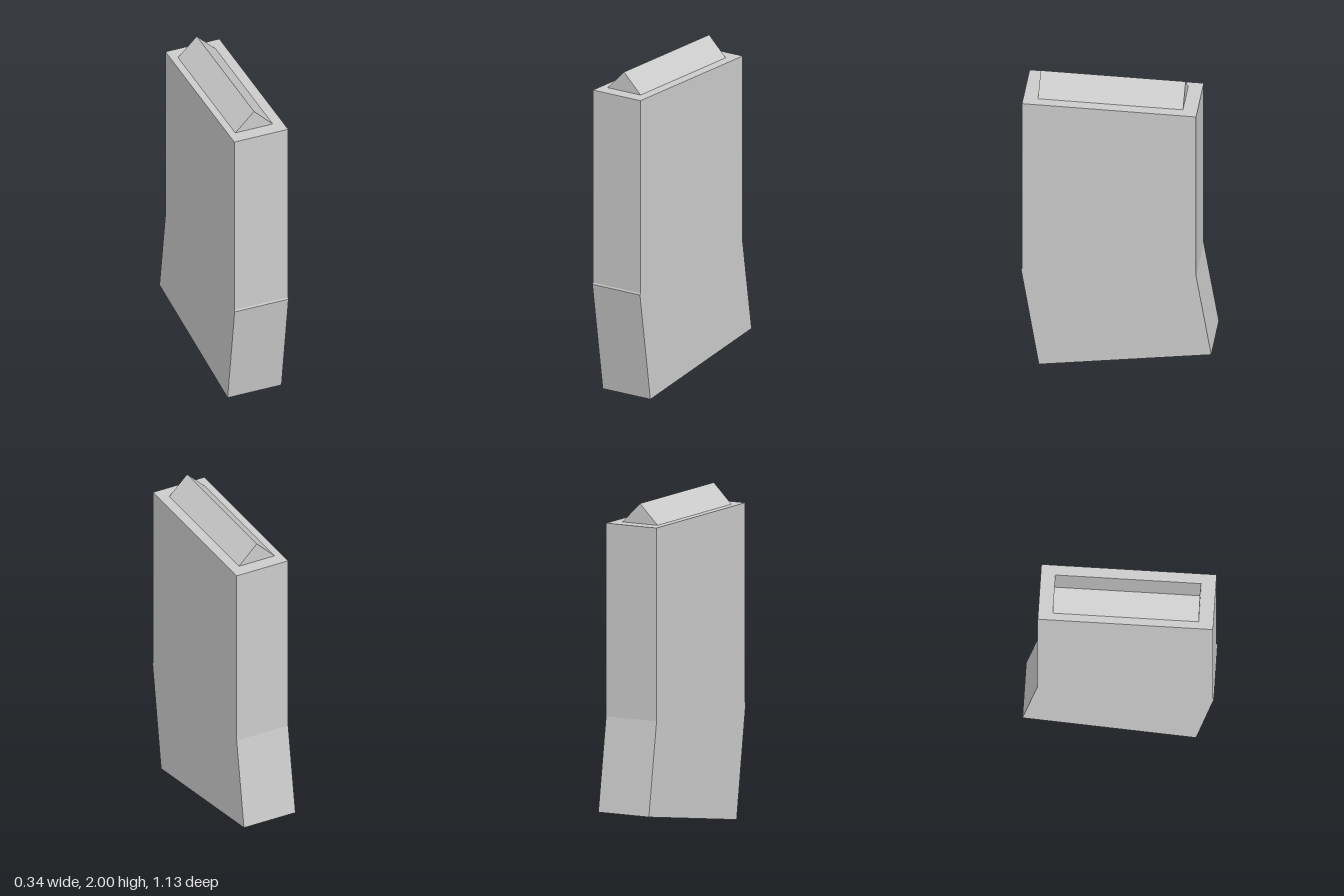
import * as THREE from 'three';

const material = new THREE.MeshStandardMaterial({ color: 0xcccccc, flatShading: true });

// Extrudes a closed outline along +z
function prism(points, depth) {
  const shape = new THREE.Shape(points.map(([x, y]) => new THREE.Vector2(x, y)));
  return new THREE.ExtrudeGeometry(shape, { depth, bevelEnabled: false });
}

function addPart(group, name, geometry) {
  const mesh = new THREE.Mesh(geometry, material);
  mesh.name = name;
  group.add(mesh);
}

export function createModel() {
  const group = new THREE.Group();
  group.name = 'magazine';

  // Casing: side outline as (z, y), straight above and raked backwards below
  const casing = prism([
    [0.46, 0], [0.565, 0.675], [0.56, 0.685], [0.56, 1.88],
    [-0.475, 1.88], [-0.475, 0.725], [-0.565, 0.165],
  ], 0.345);
  casing.rotateY(-Math.PI / 2).translate(0.1725, 0, 0);
  addPart(group, 'casing', casing);

  // Top round: square bar turned on its edge, half sunk into the casing
  const r = 0.122, cx = -0.009, cy = 2 - r;
  const topRound = prism([[cx, cy - r], [cx + r, cy], [cx, cy + r], [cx - r, cy]], 0.862);
  topRound.translate(0, 0, -0.389);
  addPart(group, 'topRound', topRound);

  return group;
}
